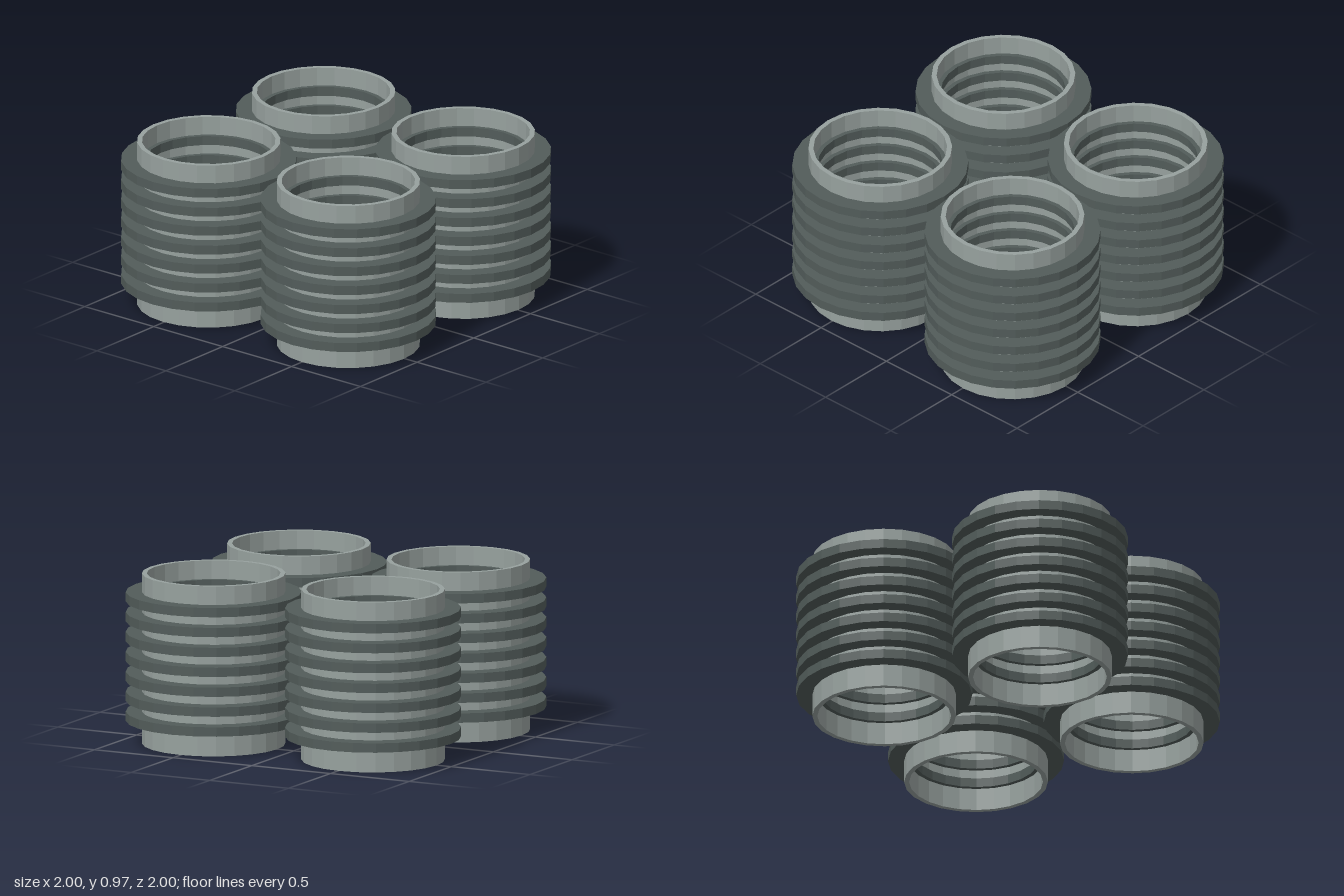
import * as THREE from 'three';

const SIDES = 24;

// Hollow ring with a rectangular cross-section, standing on y = 0
function hollowRing(inner, outer, height) {
  const profile = [
    [inner, 0], [outer, 0], [outer, height], [inner, height], [inner, 0],
  ].map(([r, y]) => new THREE.Vector2(r, y));
  return new THREE.LatheGeometry(profile, SIDES);
}

export function createModel() {
  const lightGrey = new THREE.MeshStandardMaterial({ color: 0x97a19e });
  const darkGrey = new THREE.MeshStandardMaterial({ color: 0x525c5a });
  lightGrey.name = 'lightGrey';
  darkGrey.name = 'darkGrey';
  lightGrey.flatShading = darkGrey.flatShading = true;

  const pipeGeometry = hollowRing(0.375, 0.403, 0.97);
  const ribGeometry = hollowRing(0.35, 0.4935, 0.053);

  const model = new THREE.Group();
  model.name = 'ribbedPipes';

  // Four identical upright pipes in a square
  for (const x of [-1, 1]) {
    for (const z of [-1, 1]) {
      const unit = new THREE.Group();
      unit.name = `${z > 0 ? 'front' : 'back'}${x > 0 ? 'Left' : 'Right'}Pipe`;
      unit.position.set(x * 0.5065, 0, z * 0.5065);

      const pipe = new THREE.Mesh(pipeGeometry, lightGrey);
      pipe.name = 'pipeWall';
      unit.add(pipe);

      // Seven ribs that pass through the wall
      for (let i = 0; i < 7; i++) {
        const rib = new THREE.Mesh(ribGeometry, darkGrey);
        rib.name = `rib${i + 1}`;
        rib.position.y = 0.13 + i * 0.1135;
        unit.add(rib);
      }
      model.add(unit);
    }
  }
  return model;
}
